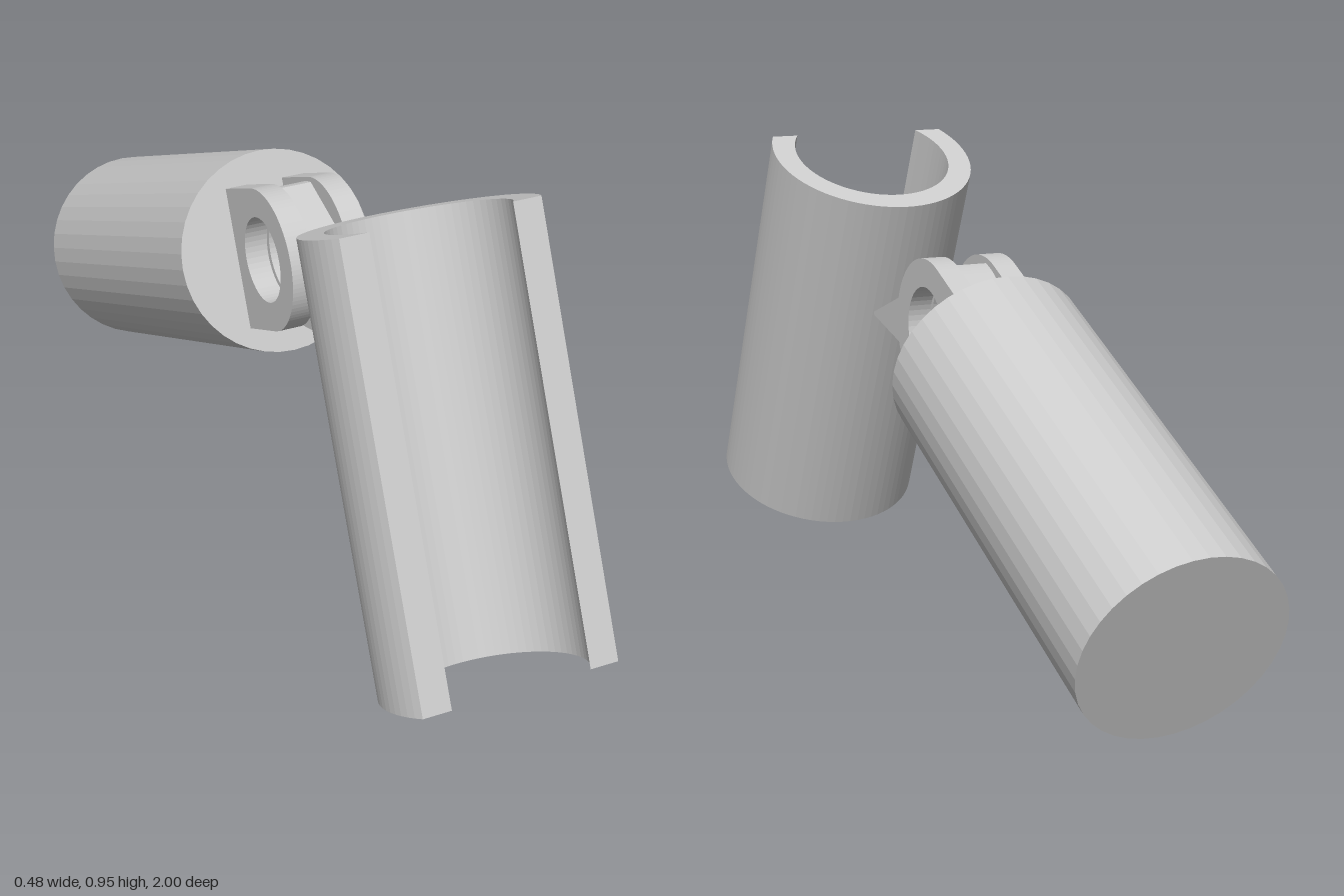
import * as THREE from 'three';

export function createModel() {
  const model = new THREE.Group();
  model.name = 'hingedClip';
  const mat = new THREE.MeshStandardMaterial({ color: 0xcccccc, flatShading: true });

  // Everything shares one frame, pitched back and rolled very slightly
  const body = new THREE.Group();
  body.name = 'body';
  body.rotation.x = -0.368;
  model.add(body);
  model.rotation.z = 0.0273;
  model.position.x = 0.012;

  const add = (name, geometry, x, y, z) => {
    const mesh = new THREE.Mesh(geometry, mat);
    mesh.name = name;
    mesh.position.set(x, y, z);
    body.add(mesh);
  };

  const hingeY = 0.567, hingeZ = 0.288, holeR = 0.09;

  // Open C-shaped clip: ring cut off by a flat chord at the front
  const outerR = 0.229, innerR = 0.177, cut = 0.099, clipZ = 0.879;
  const a = Math.asin(cut / outerR), b = Math.asin(cut / innerR);
  const ring = new THREE.Shape();
  ring.absarc(0, 0, outerR, -a, Math.PI + a, false);
  ring.absarc(0, 0, innerR, Math.PI + b, -b, true);
  ring.closePath();
  const clip = new THREE.ExtrudeGeometry(ring, { depth: 0.889, bevelEnabled: false, curveSegments: 24 });
  clip.rotateX(-Math.PI / 2);
  add('clip', clip, 0, -0.246, clipZ);

  // Solid round handle
  const handle = new THREE.CylinderGeometry(0.216, 0.216, 0.916, 40);
  handle.rotateX(Math.PI / 2);
  add('handle', handle, 0, hingeY, -0.309);

  // Side-profile plate with the hinge hole, extruded across x
  const plate = (shape, thickness) => {
    const hole = new THREE.Path();
    hole.absarc(0, 0, holeR, 0, Math.PI * 2, true);
    shape.holes.push(hole);
    const g = new THREE.ExtrudeGeometry(shape, { depth: thickness, bevelEnabled: false, curveSegments: 24 });
    g.translate(0, 0, -thickness / 2);
    return g.rotateY(-Math.PI / 2);
  };

  // Pair of fork cheeks rooted in the handle
  const lugR = 0.15;
  for (const side of [-1, 1]) {
    const cheek = new THREE.Shape();
    cheek.moveTo(-0.15, -lugR);
    cheek.lineTo(0, -lugR);
    cheek.absarc(0, 0, lugR, -Math.PI / 2, Math.PI / 2, false);
    cheek.lineTo(-0.15, lugR);
    cheek.closePath();
    add(side > 0 ? 'leftCheek' : 'rightCheek', plate(cheek, 0.05), side * 0.065, hingeY, hingeZ);
  }

  // Middle arm: eye between the cheeks, running tangentially to the clip wall
  const tilt = -0.185, eyeR = 0.142;
  const arm = new THREE.Shape();
  arm.moveTo(0.374, 0.075);
  arm.absarc(0, 0, eyeR, tilt + Math.PI / 2, tilt + Math.PI * 1.5, false);
  arm.lineTo(0.374, -0.211);
  arm.closePath();
  add('arm', plate(arm, 0.07), 0, hingeY, hingeZ);

  return model;
}
